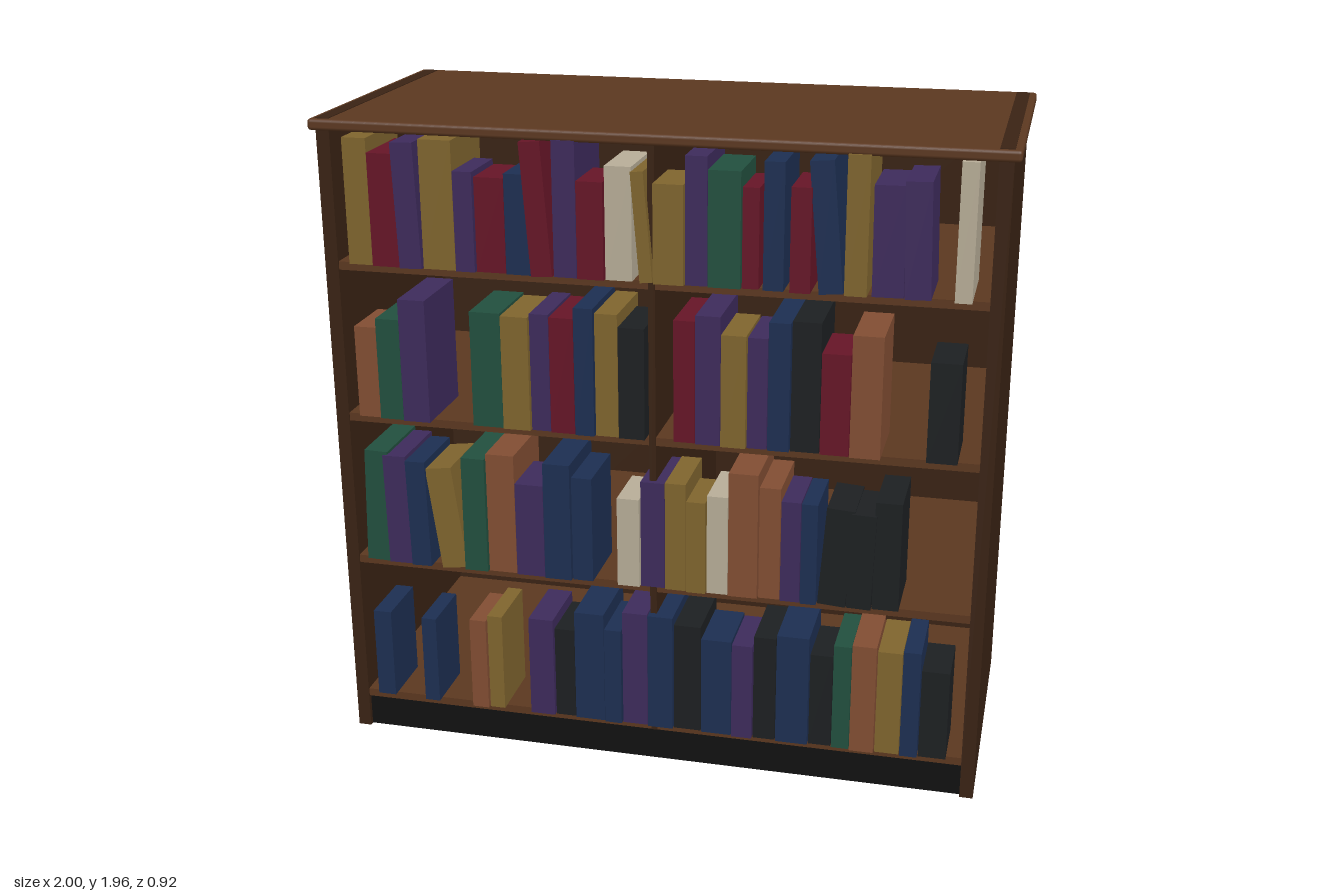
import * as THREE from 'three';
import { RoundedBoxGeometry } from 'three/addons/geometries/RoundedBoxGeometry.js';

const mat = (color) => new THREE.MeshStandardMaterial({ color });
const wood = mat(0x5c3820), darkWood = mat(0x3a2314), black = mat(0x111111);

// Book cover colours, keyed by letter
const covers = {
  y: mat(0x80652e), r: mat(0x661527), p: mat(0x3e2b5c), b: mat(0x1d2f52),
  g: mat(0x22503f), c: mat(0xb8ae98), o: mat(0x824e33), k: mat(0x1d2022),
};

// Box given by its limits on each axis
function box(name, [x0, x1], [y0, y1], [z0, z1], material) {
  const mesh = new THREE.Mesh(new THREE.BoxGeometry(x1 - x0, y1 - y0, z1 - z0), material);
  mesh.position.set((x0 + x1) / 2, (y0 + y1) / 2, (z0 + z1) / 2);
  mesh.name = name;
  return mesh;
}

// Row of books. colours: one letter per slot, '-' is a gap. edges: left edge of each
// slot plus the final right edge, heights: one per book (both in hundredths of a unit).
// leans: tilt in radians by book number, positive tips the top towards -x.
function bookRow(name, y, colours, edges, heights, leans = {}) {
  const row = new THREE.Group();
  row.name = name;
  let n = 0;
  [...colours].forEach((letter, i) => {
    if (letter === '-') return;
    const w = (edges[i + 1] - edges[i]) / 100 - 0.003;
    const h = heights[n] / 100;
    const depth = h * 0.65;
    const book = new THREE.Mesh(new THREE.BoxGeometry(w, h, depth).translate(0, h / 2, 0), covers[letter]);
    const front = 0.448 + ((n * 7) % 5) * 0.003;
    book.position.set((edges[i] + edges[i + 1]) / 200, y, front - depth / 2);
    book.rotation.z = leans[n] || 0;
    book.name = 'book';
    row.add(book);
    n++;
  });
  return row;
}

export function createModel() {
  const group = new THREE.Group();
  group.name = 'bookcase';

  // Case: sides, back, plinth and centre divider
  for (const s of [-1, 1]) {
    const side = box('sidePanel', [-0.02, 0.02], [0, 1.96], [-0.44, 0.435], darkWood);
    side.position.x = s * 0.96;
    group.add(side);
  }
  group.add(box('backPanel', [-0.94, 0.94], [0.01, 1.93], [-0.44, -0.42], darkWood));
  group.add(box('plinth', [-0.94, 0.94], [0, 0.105], [-0.439, 0.42], black));
  group.add(box('centreDivider', [-0.01, 0.01], [0.105, 1.93], [-0.42, 0.432], darkWood));

  // Overhanging top with softened edges
  const top = new THREE.Mesh(new RoundedBoxGeometry(2, 0.033, 0.91, 2, 0.01), wood);
  top.position.set(0, 1.9415, -0.005);
  top.name = 'topBoard';
  group.add(top);

  // Shelves
  const levels = [0.13, 0.6, 1.07, 1.54];
  for (const y of levels) {
    group.add(box('shelf', [-0.94, 0.94], [y - 0.025, y], [-0.42, 0.43], wood));
  }

  // Books, from the bottom shelf to the top one
  group.add(bookRow('bottomBooks', levels[0], 'b-b-oy-pkbbpbkbpkbkgoybk',
    [-90, -84, -74, -69, -58, -52.5, -47.5, -39, -31, -24.5, -15, -9.5, -1.5, 6.5, 15, 24.5, 31, 38, 48, 55, 60.5, 68, 75.5, 81, 89.5],
    [29, 28.5, 30, 31.5, 32.5, 29.5, 36, 31.5, 37.5, 37.5, 35, 31.5, 31, 34, 35.5, 30, 34, 35, 33.5, 34.5, 28.5]));

  group.add(bookRow('lowerBooks', levels[1], 'gpb-y-gopbb-cpyycoopbkkk',
    [-90.5, -83, -75.5, -69, -66, -57.5, -58.5, -51, -42, -33, -24.5, -18, -10.5, -3.5, 4, 10.5, 16.5, 23, 32, 38.5, 44.5, 49.5, 58, 65.5, 73.5],
    [36, 35, 34, 32.5, 36.5, 38, 29.5, 37, 33, 28, 33.5, 34, 29, 31, 39, 35, 31.5, 31.5, 30.5, 29.5, 33.5],
    { 0: -0.03, 1: 0.015, 2: 0.02, 3: 0.13, 18: -0.07, 19: -0.03 }));

  group.add(bookRow('upperBooks', levels[2], 'ogp-gyprbyk-rpypbkro-k',
    [-90, -83, -75.5, -67, -54, -44.5, -36, -30, -22.5, -16.5, -9.5, -1.5, 6.5, 13, 20.5, 28, 34, 40.5, 49, 57.5, 66.5, 79, 88],
    [28, 31, 37.5, 35, 34.5, 35.5, 35, 38.5, 37, 33.5, 36.5, 38.5, 33.5, 33, 38, 38.5, 30, 36, 29.5]));

  group.add(bookRow('topBooks', levels[3], 'yrpyprbrprc-yypgr-b-r-by-pp-c',
    [-90, -82.5, -74, -67, -57, -51, -42, -34.5, -28, -21, -13, -5, -3, 1, 10, 16.5, 26, 31, 32, 38, 39.5, 45.5,
      47.5, 54.5, 61, 62, 70, 71, 78.5, 84.5, 89.5].filter((e) => e !== 70),
    [37, 33, 36.5, 37.5, 29, 27.5, 29, 38.5, 39, 28, 32.5, 31.5, 28.5, 36.5, 33, 28.5, 36, 29.5, 37, 39, 31, 32.5, 38.5],
    { 2: 0.03, 7: 0.07, 11: 0.08, 18: 0.09, 21: 0.03, 20: 0.01, 22: 0 }));
  return group;
}
